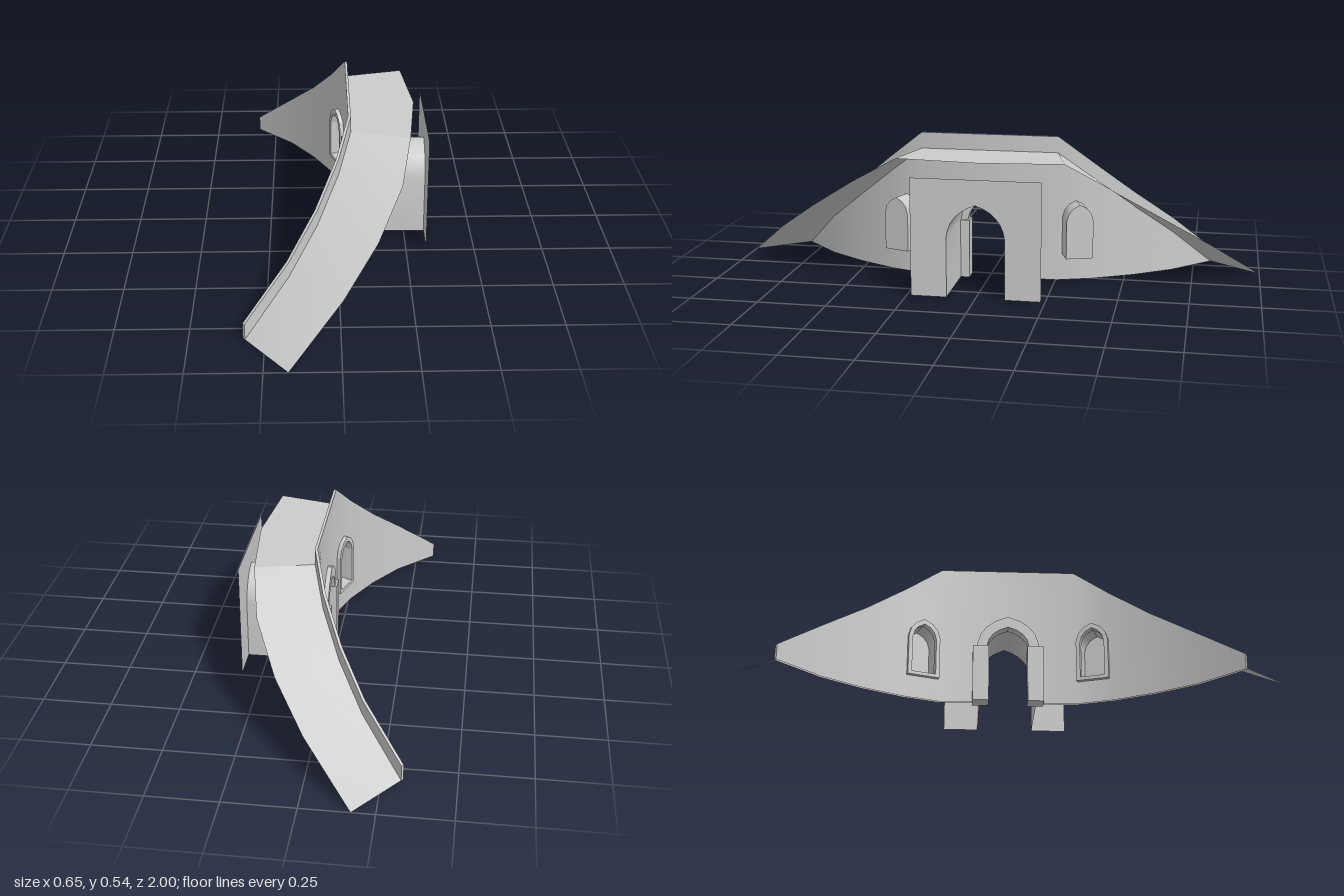
import * as THREE from 'three';
import { toCreasedNormals } from 'three/addons/utils/BufferGeometryUtils.js';

const material = new THREE.MeshStandardMaterial({ color: 0xcccccc, side: THREE.DoubleSide });
const V = (x, y, z) => new THREE.Vector3(x, y, z);

// Half of the plan: inner edge [x, z], outer edge [x, z], roof height, parapet top
const half = [
  [-0.315, 0.815, -0.17, 1.0, 0, 0.058],
  [-0.17, 0.67, 0.008, 0.82, 0.15, 0.205],
  [-0.075, 0.53, 0.125, 0.66, 0.265, 0.32],
  [0, 0.385, 0.215, 0.48, 0.383, 0.44],
  [0.045, 0.255, 0.252, 0.305, 0.483, 0.543],
];
const mirrored = half.map(([x, z, ox, oz, y, t]) => [x, -z, ox, -oz, y, t]).reverse();
const stations = [...half, ...mirrored].map(([x, z, ox, oz, y, top]) => ({
  inner: V(x, 0, z), outer: V(ox, y, oz), y, top,
}));

// Wall normals per segment, pointing to the convex side, then averaged per station
const segNormals = stations.slice(1).map((s, i) => {
  const t = s.inner.clone().sub(stations[i].inner).normalize();
  return V(-t.z, 0, t.x);
});
stations.forEach((s, i) => {
  const a = segNormals[Math.max(i - 1, 0)], b = segNormals[Math.min(i, segNormals.length - 1)];
  s.normal = a.clone().add(b).normalize();
});

function addMesh(parent, name, geometry) {
  const mesh = new THREE.Mesh(geometry, material);
  mesh.name = name;
  parent.add(mesh);
  return mesh;
}

// Ruled surface between two polylines
function strip(a, b, crease = Math.PI) {
  const positions = [], index = [];
  a.forEach((p, i) => {
    positions.push(...p.toArray(), ...b[i].toArray());
    const k = 2 * i;
    if (i) index.push(k - 2, k - 1, k, k, k - 1, k + 1);
  });
  const g = new THREE.BufferGeometry();
  g.setAttribute('position', new THREE.Float32BufferAttribute(positions, 3));
  g.setIndex(index);
  g.computeVertexNormals();
  return crease < Math.PI ? toCreasedNormals(g, crease) : g;
}

// Outline of a slightly pointed arch, from the left foot to the right foot
function archPoints(w, bottom, spring, apex, cx = 0, n = 4) {
  const curve = new THREE.QuadraticBezierCurve(
    new THREE.Vector2(w, spring),
    new THREE.Vector2(w * 0.9, spring + (apex - spring) * 0.75),
    new THREE.Vector2(0, apex));
  const right = curve.getPoints(n);
  const left = right.slice(0, -1).map(p => new THREE.Vector2(-p.x, p.y));
  const pts = [new THREE.Vector2(-w, bottom), ...left, ...right.reverse(), new THREE.Vector2(w, bottom)];
  return pts.map(p => new THREE.Vector2(p.x + cx, p.y));
}

const doorArch = (cx = 0) => archPoints(0.105, 0, 0.22, 0.34, cx, 6);
const windowArch = (cx = 0) => archPoints(0.05, 0.1, 0.24, 0.302, cx, 3);

// One wall face of segment i, laid on the plan and given blended normals
function wallFace(i, offset) {
  const a = stations[i], b = stations[i + 1];
  const length = a.inner.distanceTo(b.inner);
  const outline = [new THREE.Vector2(0, 0)];
  if (i === 4) outline.push(...doorArch(length / 2));
  outline.push(new THREE.Vector2(length, 0), new THREE.Vector2(length, b.top), new THREE.Vector2(0, a.top));
  const shape = new THREE.Shape(outline);
  if (i === 3 || i === 5) shape.holes.push(new THREE.Path(windowArch(length / 2)));
  const g = new THREE.ShapeGeometry(shape);
  const pos = g.attributes.position, nor = g.attributes.normal;
  for (let k = 0; k < pos.count; k++) {
    const u = pos.getX(k) / length;
    const n = a.normal.clone().lerp(b.normal, u);
    const p = a.inner.clone().lerp(b.inner, u).addScaledVector(n, offset);
    pos.setXYZ(k, p.x, pos.getY(k), p.z);
    n.normalize().multiplyScalar(offset < 0 ? -1 : 1);
    nor.setXYZ(k, n.x, n.y, n.z);
  }
  if (offset < 0) g.index.array.reverse();
  return g;
}

function extrude(shape, z0, z1) {
  return new THREE.ExtrudeGeometry(shape, { depth: z1 - z0, bevelEnabled: false }).translate(0, 0, z0);
}

function buildWall(thickness) {
  const wall = new THREE.Group();
  wall.name = 'curvedWall';
  for (let i = 0; i < stations.length - 1; i++) {
    addMesh(wall, 'wallOuterFace', wallFace(i, 0));
    addMesh(wall, 'wallInnerFace', wallFace(i, -thickness));
  }
  const at = (s, y, d) => s.inner.clone().addScaledVector(s.normal, -d).setY(y);
  addMesh(wall, 'parapetTop', strip(stations.map(s => at(s, s.top, 0)), stations.map(s => at(s, s.top, thickness))));
  for (const s of [stations[0], stations[stations.length - 1]]) {
    addMesh(wall, 'wallEnd', strip([at(s, 0, 0), at(s, s.top, 0)], [at(s, 0, thickness), at(s, s.top, thickness)]));
  }
  return wall;
}

// Recessed window with a raised surround; local z points to the convex side
function buildWindow(i) {
  const win = new THREE.Group();
  win.name = 'window';
  const depth = 0.075, pts = windowArch();
  const loop = [...pts, pts[0]];
  addMesh(win, 'windowRecess', strip(loop.map(p => V(p.x, p.y, -0.01)), loop.map(p => V(p.x, p.y, depth)), 0.7));
  addMesh(win, 'windowBack', new THREE.ShapeGeometry(new THREE.Shape(pts)).translate(0, 0, depth));
  const frame = new THREE.Shape(archPoints(0.061, 0.087, 0.245, 0.316, 0, 3));
  frame.holes.push(new THREE.Path(archPoints(0.046, 0.1, 0.238, 0.296, 0, 3)));
  addMesh(win, 'windowFrame', extrude(frame, -0.025, 0));
  const n = segNormals[i];
  win.position.copy(stations[i].inner).lerp(stations[i + 1].inner, 0.5);
  win.rotation.y = Math.atan2(n.x, n.z);
  return win;
}

function buildDoorway() {
  const door = new THREE.Group();
  door.name = 'doorway';
  // Pillars and arch of the surround
  for (const side of [-1, 1]) {
    addMesh(door, 'doorPillar', new THREE.BoxGeometry(0.058, 0.22, 0.06)).position.set(0.039, 0.11, side * 0.102);
  }
  const arch = new THREE.Shape([
    ...archPoints(0.115, 0.21, 0.23, 0.342, 0, 4),
    ...archPoints(0.078, 0.21, 0.225, 0.3, 0, 4).reverse(),
  ]);
  addMesh(door, 'doorArch', extrude(arch, 0.018, 0.06).rotateY(Math.PI / 2));

  // Passage behind the door, closed off by a thin plate around its far mouth
  const pts = doorArch();
  addMesh(door, 'passage', strip(pts.map(p => V(0.045, p.y, -p.x)), pts.map(p => V(0.325, p.y, -p.x)), 0.8));
  const plate = new THREE.Shape([
    new THREE.Vector2(-0.235, 0), ...pts, new THREE.Vector2(0.235, 0),
    new THREE.Vector2(0.235, 0.432), new THREE.Vector2(-0.235, 0.432),
  ]);
  addMesh(door, 'passagePlate', new THREE.ShapeGeometry(plate).rotateY(Math.PI / 2).translate(0.325, 0, 0));
  return door;
}

function buildRoof() {
  const roof = new THREE.Group();
  roof.name = 'roof';
  const inner = stations.map(s => s.inner.clone().setY(s.y));
  const outer = stations.map(s => s.outer);
  addMesh(roof, 'leftRamp', strip(inner.slice(0, 5), outer.slice(0, 5)));
  addMesh(roof, 'rightRamp', strip(inner.slice(5), outer.slice(5)));
  // Flat crown with a slightly bowed outer edge
  addMesh(roof, 'crown', strip(
    [inner[4], V(0.045, 0.483, 0), inner[5]],
    [outer[4], V(0.283, 0.483, 0), outer[5]]));
  return roof;
}

export function createModel() {
  const model = new THREE.Group();
  model.name = 'curvedGatehouse';
  model.add(buildWall(0.01), buildRoof(), buildDoorway(), buildWindow(3), buildWindow(5));
  return model;
}
